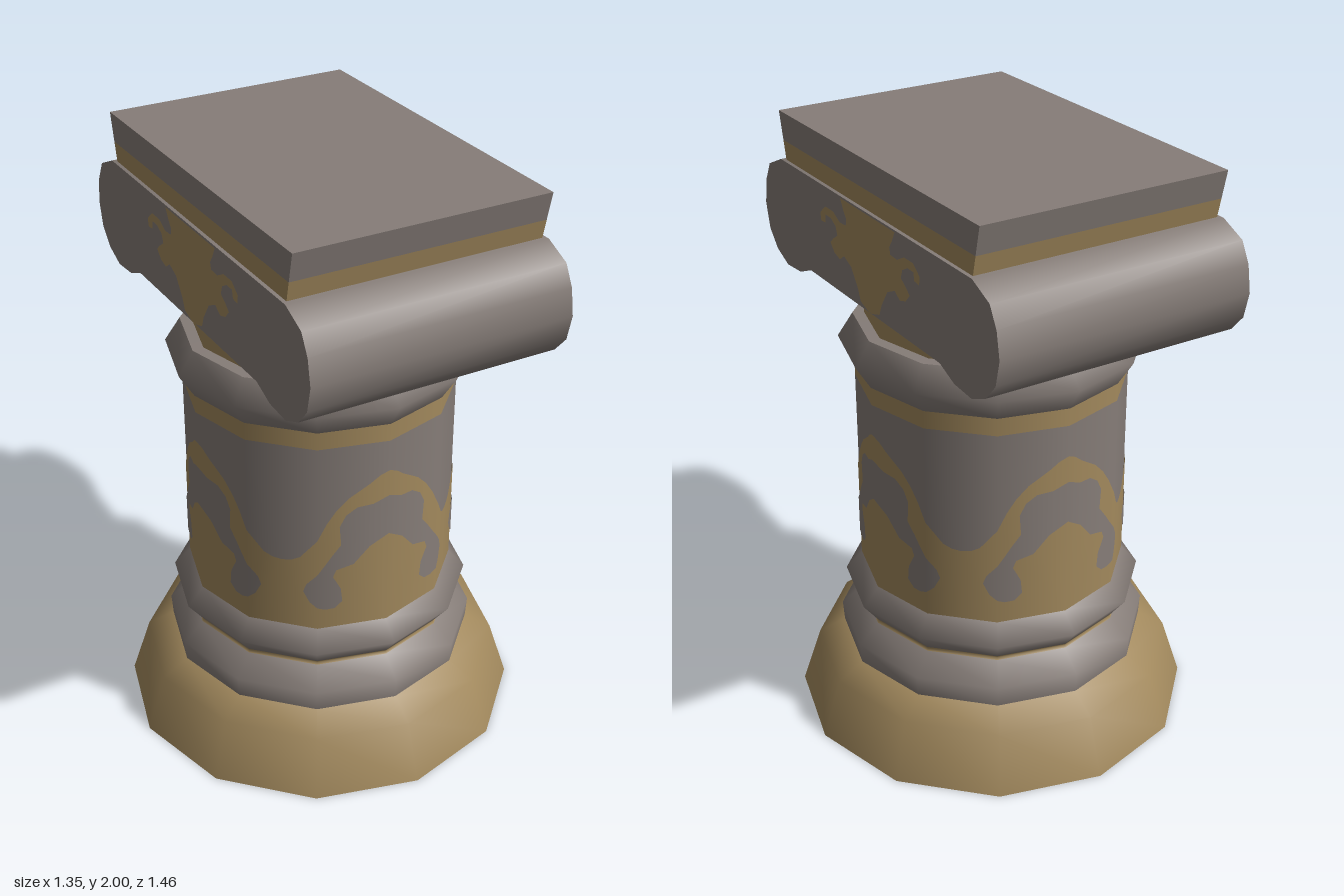
import * as THREE from 'three';
import { toCreasedNormals } from 'three/addons/utils/BufferGeometryUtils.js';

const SIDES = 12, COLUMN_R = 0.447;

export function createModel() {
  const model = new THREE.Group();
  model.name = 'pedestalColumn';
  const material = (name, color) => {
    const m = new THREE.MeshStandardMaterial({ color, side: THREE.DoubleSide });
    m.name = name;
    return m;
  };
  const stone = material('warm grey stone', 0x867d78);
  const gold = material('dull gold', 0xa2895d);

  const add = (name, geometry, mat) => {
    const mesh = new THREE.Mesh(geometry, mat);
    mesh.name = name;
    model.add(mesh);
    return mesh;
  };
  const turned = (name, mat, points) =>
    add(name, new THREE.LatheGeometry(points.map(p => new THREE.Vector2(...p)), SIDES), mat);

  // Turned twelve-sided shaft, from the foot up
  turned('foot', gold, [[0.675, 0], [0.61, 0.2], [0.52, 0.25]]);
  turned('lowerMoulding', stone, [[0.52, 0.25], [0.525, 0.32], [0.455, 0.385]]);
  turned('goldGroove', gold, [[0.455, 0.385], [0.45, 0.392], [0.455, 0.4]]);
  turned('upperMoulding', stone, [[0.455, 0.4], [0.505, 0.465], [COLUMN_R, 0.53]]);
  turned('shaft', stone, [[COLUMN_R, 0.53], [COLUMN_R, 1.21]]);
  turned('shaftBand', gold, [[COLUMN_R, 1.21], [COLUMN_R, 1.27]]);
  turned('collar', stone, [[COLUMN_R, 1.27], [0.497, 1.35], [COLUMN_R, 1.43]]);
  turned('collarLedge', stone, [[COLUMN_R, 1.43], [0.41, 1.432]]);
  turned('neck', gold, [[0.41, 1.432], [0.41, 1.53]]);

  // Painted arches: half a motif per facet pair, as (x seen from the front, y)
  const corner = i => new THREE.Vector2(Math.sin(i * Math.PI / 6), Math.cos(i * Math.PI / 6));
  const facetPlate = (outline, facet, mirror, lift) => {
    const a = corner(facet), b = corner(facet + 1), r = COLUMN_R + lift;
    const pos = [], nor = [];
    const pts = outline.map(p => new THREE.Vector2(...p));
    if (THREE.ShapeUtils.isClockWise(pts)) pts.reverse();
    for (const tri of THREE.ShapeUtils.triangulateShape(pts, [])) {
      if (mirror < 0) tri.reverse();
      for (const i of tri) {
        const t = (pts[i].x / 0.45 - a.x) / (b.x - a.x);
        const p = a.clone().lerp(b, t);
        const n = p.clone().normalize();
        pos.push(mirror * p.x * r, pts[i].y, p.y * r);
        nor.push(mirror * n.x, 0, n.y);
      }
    }
    const g = new THREE.BufferGeometry();
    g.setAttribute('position', new THREE.Float32BufferAttribute(pos, 3));
    g.setAttribute('normal', new THREE.Float32BufferAttribute(nor, 3));
    return g;
  };
  const archPlates = [
    ['archField', gold, 0, 0.003, [[0, 0.53], [0.225, 0.53], [0.225, 0.875], [0.195, 0.935],
      [0.165, 0.98], [0.127, 1.02], [0.06, 1.065], [0.03, 1.09], [0, 1.105]]],
    ['archField', gold, 1, 0.003, [[0.225, 0.53], [0.3075, 0.53], [0.3075, 0.785], [0.285, 0.79],
      [0.265, 0.805], [0.225, 0.875]]],
    ['archLeg', stone, 0, 0.006, [[0, 0.87], [0.06, 0.83], [0.11, 0.77], [0.165, 0.755],
      [0.175, 0.73], [0.15, 0.68], [0.145, 0.63], [0.17, 0.606], [0.2, 0.605], [0.225, 0.615],
      [0.225, 0.745], [0.2, 0.78], [0.18, 0.81], [0.15, 0.85], [0.155, 0.92], [0.135, 0.96],
      [0.1, 0.985], [0.05, 0.99], [0, 1.015]]],
    ['archLeg', stone, 1, 0.006, [[0.225, 0.615], [0.243, 0.635], [0.258, 0.675], [0.25, 0.705],
      [0.225, 0.745]]],
  ];
  for (let quarter = 0; quarter < 4; quarter++)
    for (const mirror of [1, -1])
      for (const [name, mat, facet, lift, outline] of archPlates)
        add(name, facetPlate(outline, facet, mirror, lift), mat).rotation.y = quarter * Math.PI / 2;

  // Symmetric shape from the right half of its outline
  const mirrored = half =>
    new THREE.Shape([...half, ...half.map(([x, y]) => [-x, y]).reverse()].map(p => new THREE.Vector2(...p)));
  const acrossX = (shape, width) => new THREE.ExtrudeGeometry(shape, { depth: width, bevelEnabled: false })
    .translate(0, 0, -width / 2).rotateY(Math.PI / 2);

  // Capital with rounded rolls at front and back
  const roll = mirrored([[0.41, 1.52], [0.49, 1.487], [0.585, 1.48], [0.66, 1.513], [0.71, 1.57],
    [0.73, 1.655], [0.715, 1.74], [0.68, 1.805], [0.59, 1.845]]);
  add('capitalRolls', toCreasedNormals(acrossX(roll, 0.87), 0.9), stone);

  // Leaf ornament on both sides of the capital
  const leaf = mirrored([[0.012, 1.525], [0.06, 1.54], [0.075, 1.577], [0.115, 1.635], [0.16, 1.655],
    [0.19, 1.635], [0.225, 1.645], [0.25, 1.672], [0.23, 1.69], [0.2, 1.71], [0.21, 1.738],
    [0.24, 1.755], [0.275, 1.755], [0.28, 1.728], [0.307, 1.725], [0.312, 1.752], [0.275, 1.782],
    [0.222, 1.782], [0.18, 1.76], [0.14, 1.762], [0.135, 1.785], [0.15, 1.805], [0.17, 1.842]]);
  for (const side of [1, -1]) {
    const plate = add('leafOrnament', new THREE.ShapeGeometry(leaf), gold);
    plate.rotation.y = side * Math.PI / 2;
    plate.position.x = side * 0.439;
  }

  // Top slab, flaring towards front and back, with a gold lower band
  const slab = (name, mat, y0, z0, y1, z1) =>
    add(name, acrossX(mirrored([[z0, y0], [z1, y1]]), 0.845), mat);
  slab('slabBand', gold, 1.845, 0.575, 1.907, 0.589);
  slab('slab', stone, 1.907, 0.589, 2, 0.61);

  return model;
}
